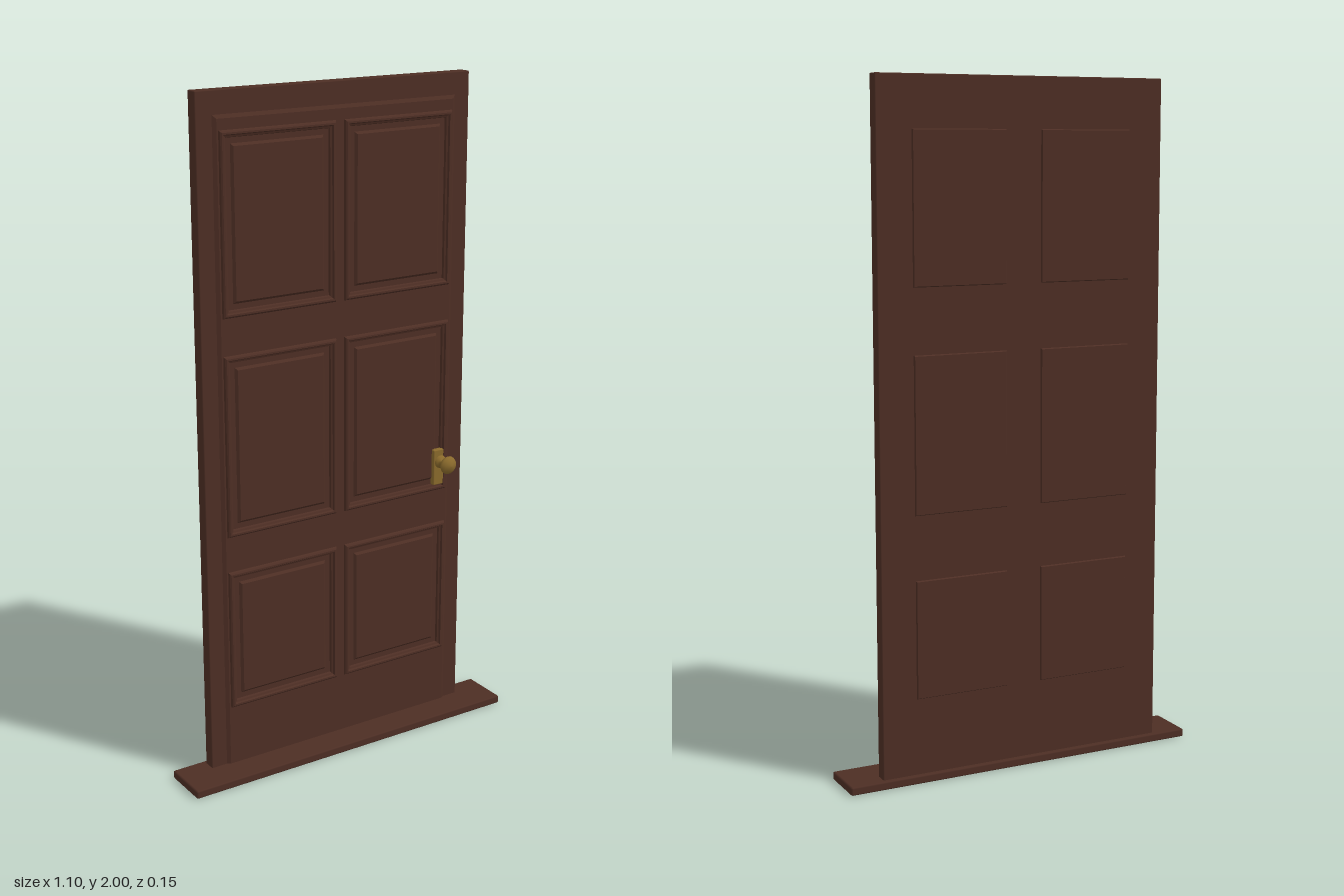
import * as THREE from 'three';
import { RoundedBoxGeometry } from 'three/addons/geometries/RoundedBoxGeometry.js';

const wood = new THREE.MeshStandardMaterial({ color: 0x4d2e24 });
wood.name = 'dark wood';
const brass = new THREE.MeshStandardMaterial({ color: 0x8a6a2c });
brass.name = 'aged brass';

// Outer bounds of the panel mouldings
const columns = [[-0.383, -0.013], [0.013, 0.383]];
const rows = [[1.382, 1.895], [0.742, 1.277], [0.208, 0.637]];

// Rectangular steps [inset, z] joined from the outside in, closed by a flat face
function terrace(w, h, steps) {
  const rings = steps.map(([inset, z]) => {
    const x = w / 2 - inset, y = h / 2 - inset;
    return [[-x, -y, z], [x, -y, z], [x, y, z], [-x, y, z]];
  });
  const pos = [];
  const quad = (a, b, c, d) => pos.push(...a, ...b, ...c, ...a, ...c, ...d);
  for (let r = 0; r < rings.length - 1; r++) {
    for (let i = 0; i < 4; i++) {
      const j = (i + 1) % 4;
      quad(rings[r][i], rings[r][j], rings[r + 1][j], rings[r + 1][i]);
    }
  }
  quad(...rings[rings.length - 1]);
  const g = new THREE.BufferGeometry();
  g.setAttribute('position', new THREE.Float32BufferAttribute(pos, 3));
  g.computeVertexNormals();
  return g;
}

function rect(target, x0, y0, x1, y1) {
  target.moveTo(x0, y0);
  target.lineTo(x1, y0);
  target.lineTo(x1, y1);
  target.lineTo(x0, y1);
  target.closePath();
  return target;
}

export function createModel() {
  const model = new THREE.Group();
  model.name = 'panelledDoor';
  const add = (name, geometry, material, x = 0, y = 0, z = 0, parent = model) => {
    const mesh = new THREE.Mesh(geometry, material);
    mesh.name = name;
    mesh.position.set(x, y, z);
    parent.add(mesh);
    return mesh;
  };

  // Threshold and main slab
  add('threshold', new RoundedBoxGeometry(1.1, 0.025, 0.148, 1, 0.005), wood, 0, 0.0125, -0.002);
  add('slab', new RoundedBoxGeometry(0.894, 1.98, 0.038, 1, 0.003), wood, 0, 1.01, -0.0435);

  // Raised front face with sloping edges, open behind each panel
  const face = rect(new THREE.Shape(), -0.387, 0.02, 0.387, 1.925);
  for (const [x0, x1] of columns) {
    for (const [y0, y1] of rows) {
      face.holes.push(rect(new THREE.Path(), x0 + 0.006, y0 + 0.006, x1 - 0.006, y1 - 0.006));
    }
  }
  add('frontFace', new THREE.ExtrudeGeometry(face, {
    depth: 0.001, bevelThickness: 0.007, bevelSize: 0.011, bevelSegments: 1,
  }), wood, 0, 0, -0.026);

  // Six panels: moulding, recess and raised field in front, a shallow field behind
  const frontSteps = [
    [0, -0.02], [0.003, -0.012], [0.007, -0.009], [0.012, -0.009], [0.015, -0.014],
    [0.02, -0.016], [0.022, -0.0225], [0.038, -0.0225], [0.045, -0.016],
  ];
  const backSteps = [[0.041, 0], [0.044, 0.005]];
  for (const [x0, x1] of columns) {
    for (const [y0, y1] of rows) {
      const w = x1 - x0, h = y1 - y0, cx = (x0 + x1) / 2, cy = (y0 + y1) / 2;
      add('frontPanel', terrace(w, h, frontSteps), wood, cx, cy);
      add('backPanel', terrace(w, h, backSteps), wood, cx, cy, -0.062).rotation.y = Math.PI;
    }
  }

  // Door knob on its plate
  const handle = new THREE.Group();
  handle.name = 'handle';
  handle.position.set(0.355, 0.837, 0);
  model.add(handle);
  add('handlePlate', new RoundedBoxGeometry(0.036, 0.112, 0.018, 2, 0.003), brass, -0.006, -0.017, -0.013, handle);
  const profile = [
    [0, -0.01], [0.02, -0.01], [0.02, -0.003], [0.014, 0.002], [0.008, 0.006], [0.008, 0.018],
    [0.013, 0.023], [0.024, 0.028], [0.028, 0.035], [0.026, 0.041], [0.018, 0.047], [0.008, 0.052], [0, 0.053],
  ].map(([r, z]) => new THREE.Vector2(r, z));
  add('knob', new THREE.LatheGeometry(profile, 24), brass, 0, 0, 0, handle).rotation.x = Math.PI / 2;

  return model;
}
